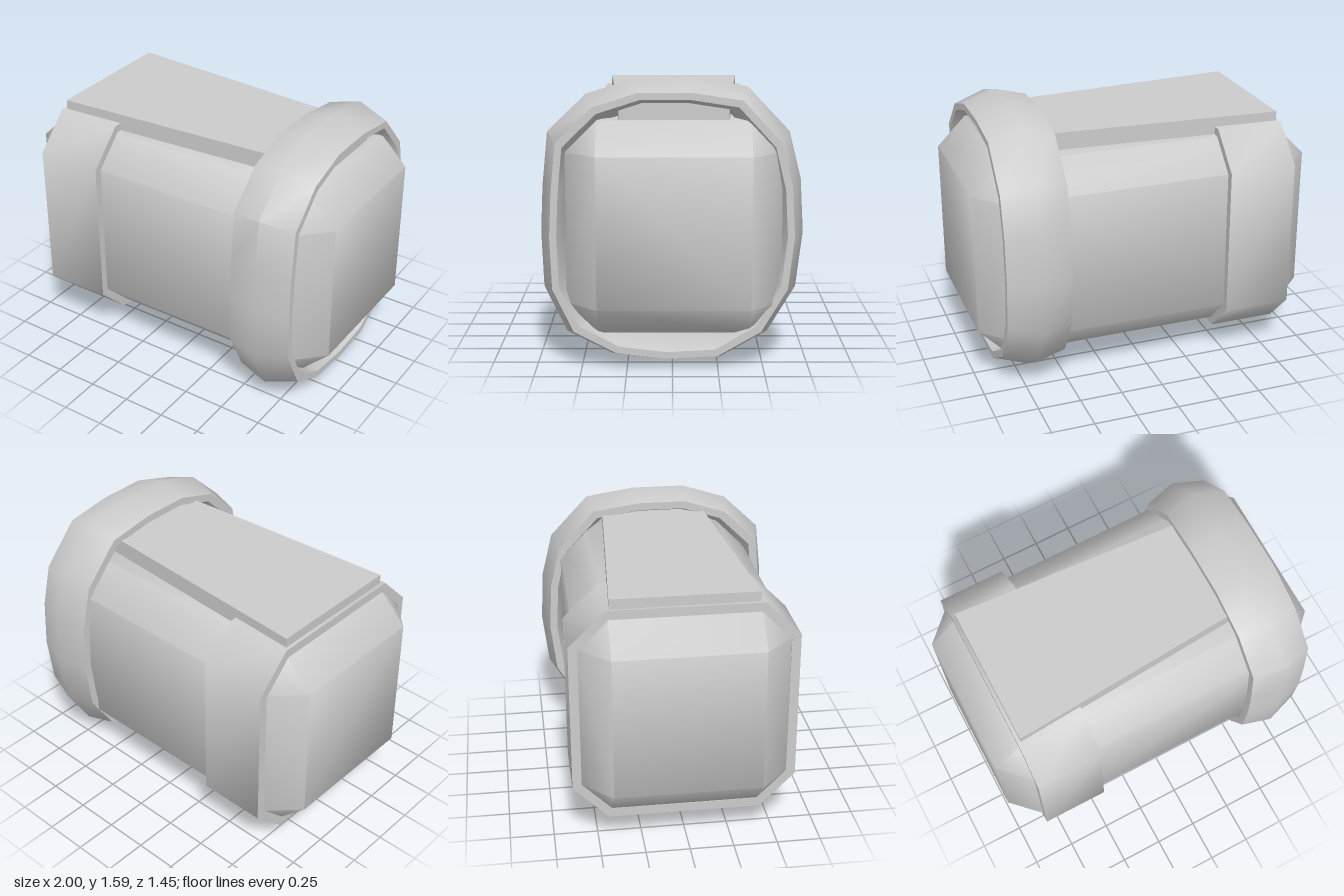
import * as THREE from 'three';
import { toCreasedNormals } from 'three/addons/utils/BufferGeometryUtils.js';
import { ConvexGeometry } from 'three/addons/geometries/ConvexGeometry.js';

const MID_Z = -0.008, MID_Y = 0.787;

// Octagon outline as [z, y] offsets, running from the top towards -z
function octagon(hz, hy, c) {
  return [
    [hz - c, hy], [-hz + c, hy], [-hz, hy - c], [-hz, -hy + c],
    [-hz + c, -hy], [hz - c, -hy], [hz, -hy + c], [hz, hy - c],
  ];
}

// Closed hoop: sections are { x, outline } and wrap round from last to first
function hoop(sections, crease) {
  const n = sections[0].outline.length, m = sections.length;
  const positions = [], index = [];
  for (const { x, outline } of sections) {
    for (const [z, y] of outline) positions.push(x, y, z);
  }
  for (let i = 0; i < m; i++) {
    for (let j = 0; j < n; j++) {
      const a = i * n + j, b = ((i + 1) % m) * n + j;
      const c = ((i + 1) % m) * n + (j + 1) % n, d = i * n + (j + 1) % n;
      index.push(a, b, c, a, c, d);
    }
  }
  const g = new THREE.BufferGeometry();
  g.setAttribute('position', new THREE.Float32BufferAttribute(positions, 3));
  g.setIndex(index);
  return toCreasedNormals(g, crease);
}

export function createModel() {
  const group = new THREE.Group();
  const material = new THREE.MeshStandardMaterial({ color: 0xcccccc });
  const add = (name, geometry, y = 0, z = 0) => {
    const mesh = new THREE.Mesh(geometry, material);
    mesh.name = name;
    mesh.position.set(0, y, z);
    group.add(mesh);
  };

  // Main barrel: a box with every edge bevelled, softly shaded
  const hz = 0.587, hy = 0.587, bevel = 0.172;
  const points = [];
  for (const s of [-1, 1]) {
    for (const [z, y] of octagon(hz, hy, bevel)) {
      points.push(new THREE.Vector3(s * (1 - bevel), y, z));
    }
    for (const a of [-1, 1]) for (const b of [-1, 1]) {
      points.push(new THREE.Vector3(s, a * (hy - bevel), b * (hz - bevel)));
    }
  }
  add('barrel', toCreasedNormals(new ConvexGeometry(points), 1.0), MID_Y, MID_Z);

  // Raised band near the -x end
  const outer = octagon(0.632, 0.632, 0.2), inner = octagon(0.58, 0.58, 0.172);
  add('band', hoop([
    { x: -0.84, outline: outer }, { x: -0.445, outline: outer },
    { x: -0.445, outline: inner }, { x: -0.84, outline: inner },
  ], 0.9), MID_Y, MID_Z);

  // Bulging collar near the +x end, its outline slightly uneven
  const rim = [
    [0.2, 1.59], [-0.11, 1.59], [-0.41, 1.545], [-0.64, 1.3], [-0.705, 1.04],
    [-0.722, 0.74], [-0.685, 0.43], [-0.53, 0.17], [-0.27, 0.02], [0.04, 0.004],
    [0.34, 0.04], [0.59, 0.17], [0.715, 0.43], [0.727, 0.74], [0.715, 1.0],
    [0.685, 1.3], [0.47, 1.505],
  ];
  const inset = (d) => rim.map(([z, y]) => [
    z * (1 - d / 0.725), 0.797 + (y - 0.797) * (1 - d / 0.793),
  ]);
  add('collar', hoop([
    { x: 0.51, outline: inset(0.045) }, { x: 0.69, outline: inset(0) },
    { x: 0.88, outline: inset(0.062) }, { x: 0.88, outline: inset(0.1) },
    { x: 0.69, outline: inset(0.16) }, { x: 0.51, outline: inset(0.09) },
  ], 0.9));

  // Tapering plate along the top
  const plan = new THREE.Shape([
    new THREE.Vector2(-0.82, -0.408), new THREE.Vector2(0.8, -0.298),
    new THREE.Vector2(0.8, 0.298), new THREE.Vector2(-0.82, 0.408),
  ]);
  const plate = new THREE.ExtrudeGeometry(plan, { depth: 0.115, bevelEnabled: false });
  plate.rotateX(-Math.PI / 2);
  add('topPlate', plate, 1.36, MID_Z);

  return group;
}
